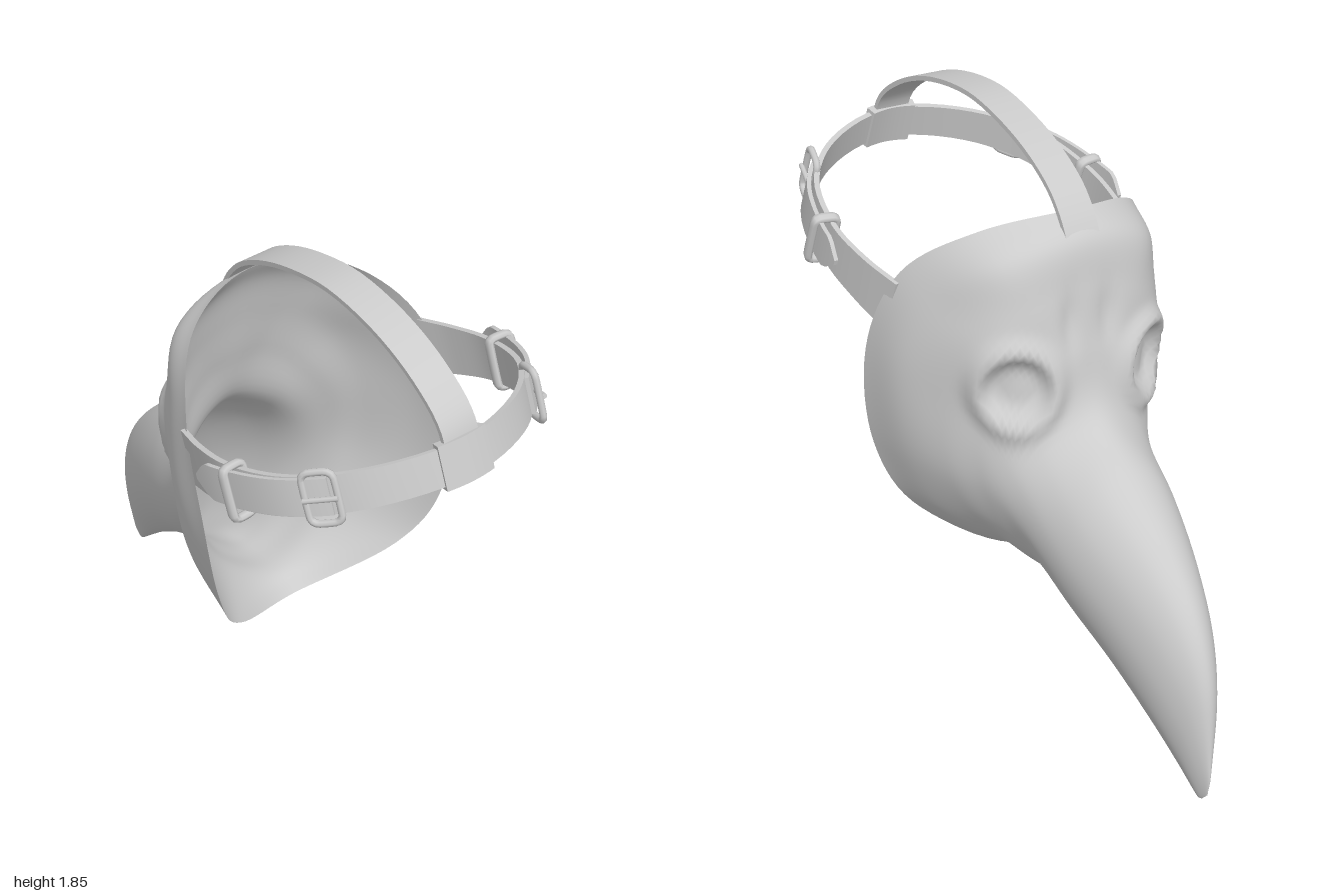
import * as THREE from 'three';
import { toCreasedNormals } from 'three/addons/utils/BufferGeometryUtils.js';

const V = (x, y, z) => new THREE.Vector3(x, y, z);
const { smoothstep, degToRad } = THREE.MathUtils;
const material = new THREE.MeshStandardMaterial({ color: 0xcccccc });
const shellMaterial = new THREE.MeshStandardMaterial({ color: 0xcccccc, side: THREE.DoubleSide });

function named(name, geometry, mat = material) {
  const mesh = new THREE.Mesh(geometry, mat);
  mesh.name = name;
  return mesh;
}

function buildGeometry(points, index) {
  const g = new THREE.BufferGeometry().setFromPoints(points);
  g.setIndex(index);
  g.computeVertexNormals();
  return g;
}

// Half outlines of the face, from crown to chin, starting at the open rim
const faceRings = [
  [[0, 1.64, -.09], [.28, 1.585, 0], [.445, 1.41, .17], [.49, 1.1, .28], [.45, .75, .27], [.32, .52, .17], [0, .38, .02]],
  [[0, 1.57, -.175], [.27, 1.51, -.13], [.41, 1.34, .02], [.47, 1.08, .11], [.42, .76, .1], [.27, .52, .05], [0, .41, -.04]],
  [[0, 1.43, -.21], [.2, 1.38, -.2], [.33, 1.26, -.14], [.395, 1.04, -.04], [.36, .76, -.05], [.21, .53, -.08], [0, .42, -.1]],
  [[0, 1.24, -.25], [.13, 1.22, -.25], [.24, 1.13, -.22], [.32, .97, -.15], [.3, .75, -.16], [.18, .52, -.18], [0, .41, -.2]],
  [[0, 1.04, -.32], [.1, 1.01, -.31], [.2, .94, -.28], [.255, .82, -.27], [.24, .66, -.28], [.15, .5, -.29], [0, .4, -.3]],
];
// Beak sections: top y, top z, bottom y, bottom z, half width
const beakRings = [
  [.91, -.53, .355, -.44, .21],
  [.765, -.73, .26, -.62, .163],
  [.6, -.89, .145, -.8, .11],
  [.4, -.99, .06, -.91, .06],
  [.13, -1.035, .0, -.985, .015],
  [.03, -1.035, .0, -1.01, .002],
];

// Closed section loops from the rim to the tip of the beak
function maskLoops() {
  const face = faceRings.map(r => [
    ...r.map(p => V(...p)),
    ...r.slice(1, -1).reverse().map(([x, y, z]) => V(-x, y, z)),
  ]);
  const beak = beakRings.map(([ty, tz, by, bz, w]) => Array.from({ length: 12 }, (_, i) => {
    const a = i * Math.PI / 6, k = (1 - Math.cos(a)) / 2;
    return V(w * Math.sin(a), ty + (by - ty) * k, tz + (bz - tz) * k);
  }));
  return [...face, ...beak];
}

// Lining: the same loops drawn in a little, thinner along the jaw, closing inside the beak
function liningLoops() {
  const inset = [0, .05, .06, .07, .08, .1, .14, .2, 1];
  return maskLoops().slice(0, inset.length).map((loop, i) => {
    const middle = loop.reduce((sum, p) => sum.add(p), V(0, 0, 0)).divideScalar(loop.length);
    return loop.map(p => {
      const thin = i < 5 ? .35 + .65 * smoothstep(p.y, .4, .8) : 1;
      return p.lerp(middle, inset[i] * thin).add(V(0, 0, i ? .02 * thin : 0));
    });
  });
}

// Smooth skin over section loops
function loftGeometry(loops, along, shape) {
  const around = 96;
  const curves = loops.map(l => new THREE.CatmullRomCurve3(l, true, 'catmullrom', 0.5));
  const columns = Array.from({ length: around }, (_, j) =>
    new THREE.CatmullRomCurve3(curves.map(c => c.getPoint(j / around)), false, 'catmullrom', 0.5));
  const points = [], index = [];
  for (let i = 0; i <= along; i++) {
    for (let j = 0; j < around; j++) points.push(shape(columns[j].getPoint(i / along)));
  }
  for (let i = 0; i < along; i++) {
    for (let j = 0; j < around; j++) {
      const a = i * around + j, b = i * around + (j + 1) % around;
      index.push(a, b, b + around, a, b + around, a + around);
    }
  }
  return buildGeometry(points, index);
}

// Raise a lip round each shallow eye socket, and crease the brow
function shapeFace(p) {
  for (const s of [1, -1]) {
    const c = V(s * .25, 1.125, -.22), n = V(s * .5, 0, -.866);
    const d = p.clone().sub(c);
    if (d.length() > .24) continue;
    const r = d.addScaledVector(n, -d.dot(n)).length();
    const lip = .03 * Math.exp(-(((r - .13) / .03) ** 2));
    const socket = .025 * (1 - smoothstep(r, .06, .12));
    p.addScaledVector(n, lip - socket);
  }
  if (p.z < -.1 && p.y > 1) {
    const crease = Math.exp(-(((Math.abs(p.x) - .07) / .03) ** 2) - ((p.y - 1.33) / .09) ** 2);
    p.z += .015 * crease;
  }
  return p;
}

// Flat leather strip along points, with its width along the direction W
function bandGeometry(points, W, widthAt, thickness) {
  const last = points.length - 1, verts = [], index = [];
  points.forEach((p, k) => {
    const T = points[Math.min(k + 1, last)].clone().sub(points[Math.max(k - 1, 0)]).normalize();
    const N = W.clone().cross(T).normalize();
    const h = widthAt(k / last) / 2, t = thickness / 2;
    for (const [n, w] of [[1, -1], [1, 1], [-1, 1], [-1, -1]]) {
      verts.push(p.clone().addScaledVector(N, n * t).addScaledVector(W, w * h));
    }
    if (k === last) return;
    for (let i = 0; i < 4; i++) {
      const a = k * 4 + i, b = k * 4 + (i + 1) % 4;
      index.push(a, b, b + 4, a, b + 4, a + 4);
    }
  });
  const e = last * 4;
  index.push(0, 2, 1, 0, 3, 2, e, e + 1, e + 2, e, e + 2, e + 3);
  return toCreasedNormals(buildGeometry(verts, index), 0.7);
}

// Rounded rectangular wire frame in the XY plane
function frameGeometry(w, h, radius) {
  const x = w / 2, y = h / 2, c = Math.min(w, h) * .2;
  const corners = [[x, y - c], [x - c, y], [c - x, y], [-x, y - c], [-x, c - y], [c - x, -y], [x - c, -y], [x, c - y]];
  const path = new THREE.CatmullRomCurve3(corners.map(([a, b]) => V(a, b, 0)), true, 'catmullrom', 0.25);
  return new THREE.TubeGeometry(path, 40, radius, 8, true);
}

// Harness plane rises toward the back of the head
const slope = .29;
const headPoint = (x, z) => V(x, 1.3 + slope * (z - .25), z);
const W = V(0, 1, -slope).normalize();
const half = [[.455, .19], [.485, .33], [.495, .5], [.435, .72], [.27, .89]];
const headCurve = new THREE.CatmullRomCurve3([
  ...half.map(([x, z]) => headPoint(x, z)), headPoint(0, .98),
  ...half.slice().reverse().map(([x, z]) => headPoint(-x, z)),
]);

// Point and axes on the head strap, knot counted from either end
function strapFrame(side, knot) {
  const t = side > 0 ? knot / 10 : 1 - knot / 10;
  const P = headCurve.getPoint(t), T = headCurve.getTangent(t);
  return { P, T, N: W.clone().cross(T).normalize() };
}

function fittings(side) {
  const group = new THREE.Group();
  group.name = side > 0 ? 'leftStrapFittings' : 'rightStrapFittings';

  // Loose strap end with a pointed tip
  const tongue = Array.from({ length: 19 }, (_, i) => {
    const { P, N } = strapFrame(side, 3.5 - i / 18 * 2.1);
    return P.addScaledVector(N, .015 + .04 * (i / 18)).addScaledVector(W, .03 * (i / 18));
  });
  group.add(named('strapEnd', bandGeometry(tongue, W, s => .12 * Math.min(1, .15 + (1 - s) * 6), .014)));

  const place = (knot, out, name) => {
    const { P, T, N } = strapFrame(side, knot), g = new THREE.Group();
    g.name = name;
    g.position.copy(P).addScaledVector(N, out);
    g.quaternion.setFromRotationMatrix(new THREE.Matrix4().makeBasis(T.clone().negate(), W, N));
    group.add(g);
    return g;
  };

  // Buckle with prong, the left one lifted off the strap
  const buckle = place(3.4, .022, 'buckle');
  buckle.rotateY(side > 0 ? .45 : 0);
  buckle.add(named('buckleFrame', frameGeometry(.1, .165, .012)));
  const prong = named('prong', new THREE.CylinderGeometry(.009, .009, .11, 8));
  prong.rotation.z = Math.PI / 2;
  prong.position.z = .014;
  buckle.add(prong);

  // Keeper loop wrapped round both layers
  const keeper = place(2.15, .018, 'keeper');
  const loop = named('keeperLoop', frameGeometry(.075, .165, .013));
  loop.rotation.y = Math.PI / 2;
  loop.scale.z = 1.5;
  keeper.add(loop);
  return group;
}

export function createModel() {
  const root = new THREE.Group();
  root.name = 'beakedMask';
  // The whole mask is turned and tipped slightly about face height
  const pose = new THREE.Group();
  pose.name = 'pose';
  pose.position.set(.13, 1.1, 0);
  pose.rotation.set(0, degToRad(-12), degToRad(5));
  const body = new THREE.Group();
  body.name = 'body';
  body.position.y = -1.1;
  pose.add(body);
  root.add(pose);

  body.add(named('maskShell', loftGeometry(maskLoops(), 80, shapeFace), shellMaterial));
  body.add(named('maskLining', loftGeometry(liningLoops(), 50, p => p), shellMaterial));

  // Straps
  body.add(named('headStrap', bandGeometry(headCurve.getPoints(60), W,
    s => .12 + .07 * Math.abs(2 * s - 1) ** 2, .018)));
  const crown = new THREE.CatmullRomCurve3([
    [1.56, -.165], [1.63, -.12], [1.7, -.05], [1.77, .08], [1.82, .25], [1.84, .43],
    [1.8, .66], [1.72, .83], [1.62, .94], [1.48, .98],
  ].map(([y, z]) => V(0, y, z)));
  body.add(named('crownStrap', bandGeometry(crown.getPoints(40), V(1, 0, 0), () => .125, .016)));

  // Sleeve where the crown strap folds round the head strap
  const sleeve = Array.from({ length: 9 }, (_, i) => headCurve.getPoint(.47 + .06 * i / 8));
  body.add(named('strapSleeve', bandGeometry(sleeve, W, () => .145, .036)));

  for (const side of [1, -1]) body.add(fittings(side));
  return root;
}
